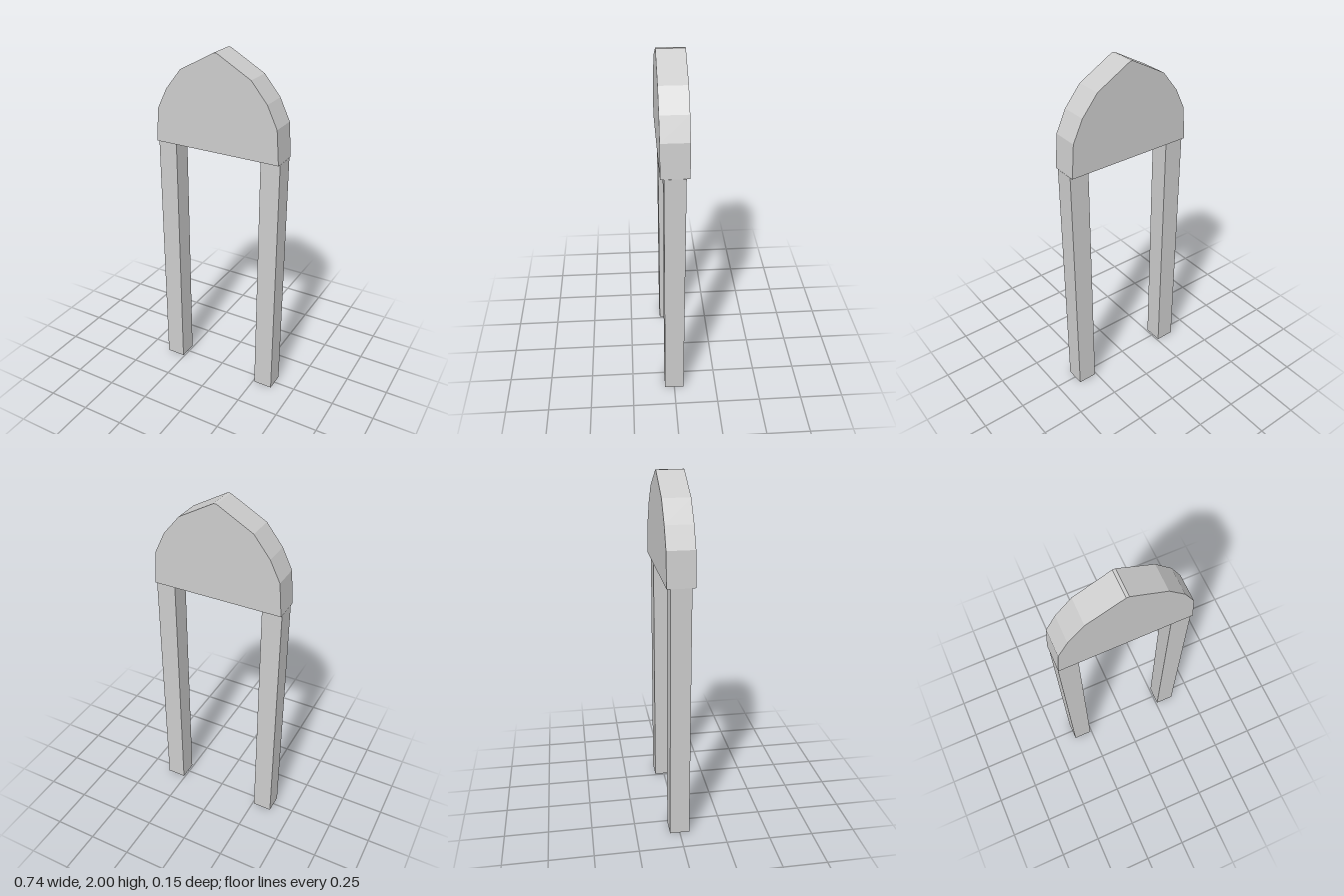
import * as THREE from 'three';

export function createModel() {
  const group = new THREE.Group();
  const material = new THREE.MeshStandardMaterial({ color: 0xcccccc, flatShading: true });

  // Faceted pointed arch slab, extruded front to back
  const outline = [
    [0.37, 1.47], [0.355, 1.66], [0.297, 1.78], [0.205, 1.89], [0.008, 2],
    [-0.008, 2], [-0.209, 1.89], [-0.3, 1.775], [-0.357, 1.66], [-0.373, 1.47],
  ];
  const depth = 0.15;
  const shape = new THREE.Shape(outline.map(([x, y]) => new THREE.Vector2(x, y)));
  const archGeometry = new THREE.ExtrudeGeometry(shape, { depth, bevelEnabled: false });
  archGeometry.translate(0, 0, -depth / 2);
  const arch = new THREE.Mesh(archGeometry, material);
  arch.name = 'archTop';
  group.add(arch);

  // Two square posts
  const postHeight = 1.47;
  for (const [name, side] of [['leftPost', 1], ['rightPost', -1]]) {
    const post = new THREE.Mesh(new THREE.BoxGeometry(0.112, postHeight, 0.112), material);
    post.name = name;
    post.position.set(side * 0.315, postHeight / 2, 0);
    group.add(post);
  }
  return group;
}
